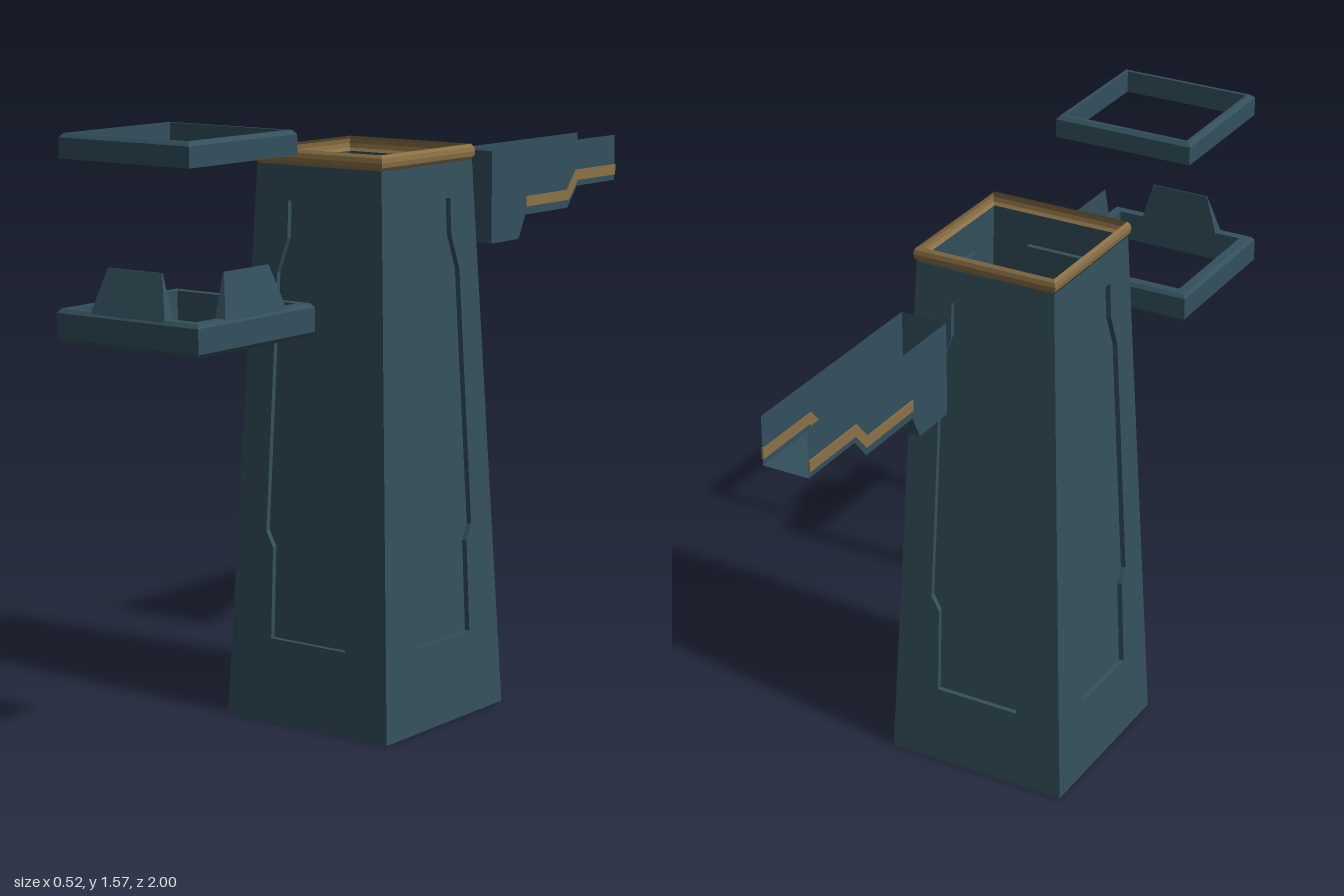
import * as THREE from 'three';
import { ConvexGeometry } from 'three/addons/geometries/ConvexGeometry.js';

const teal = new THREE.MeshStandardMaterial({ name: 'dark teal', color: 0x33505c, side: THREE.DoubleSide });
const gold = new THREE.MeshStandardMaterial({ name: 'dull gold', color: 0x8c7146, side: THREE.DoubleSide });

const shapeOf = (pts) => new THREE.Shape(pts.map(([x, y]) => new THREE.Vector2(x, y)));

function mesh(name, geometry, material) {
  const m = new THREE.Mesh(geometry, material);
  m.name = name;
  return m;
}

// Square ring or tube swept from a [half width, height] profile
function squareSweep(profile) {
  const pts = profile.map(([h, y]) => new THREE.Vector2(h * Math.SQRT2, y));
  const g = new THREE.LatheGeometry(pts, 4, Math.PI / 4).toNonIndexed();
  g.computeVertexNormals();
  return g;
}

// Flat quads between two matching paths of [x, y, z]
function strip(a, b) {
  const pos = [];
  for (let i = 0; i < a.length - 1; i++) {
    pos.push(...a[i], ...a[i + 1], ...b[i + 1], ...a[i], ...b[i + 1], ...b[i]);
  }
  const g = new THREE.BufferGeometry();
  g.setAttribute('position', new THREE.Float32BufferAttribute(pos, 3));
  g.computeVertexNormals();
  return g;
}

const BASE = 0.258, TOP = 0.196, HEIGHT = 1.445;

// Lean a flat wall inward as it rises
function lean(g) {
  const p = g.attributes.position;
  for (let i = 0; i < p.count; i++) {
    p.setZ(i, p.getZ(i) + BASE - (BASE - TOP) * p.getY(i) / HEIGHT);
  }
  g.computeVertexNormals();
  return g;
}

function createTower() {
  const tower = new THREE.Group();
  tower.name = 'tower';
  const half = [[0.12, 0.22], [0.12, 0.46], [0.143, 0.5], [0.125, 1.17], [0.094, 1.26], [0.094, 1.355]];
  const outline = [...half, ...half.map(([x, y]) => [-x, y]).reverse()];
  const depth = 0.014;

  const wallShape = shapeOf([[-BASE, 0], [BASE, 0], [TOP, HEIGHT], [-TOP, HEIGHT]]);
  wallShape.holes.push(shapeOf(outline));
  const wall = lean(new THREE.ShapeGeometry(wallShape));
  const panel = lean(new THREE.ShapeGeometry(shapeOf(outline)).translate(0, 0, -depth));
  const loop = [...outline, outline[0]];
  const edge = lean(strip(loop.map(([x, y]) => [x, y, 0]), loop.map(([x, y]) => [x, y, -depth])));

  for (let i = 0; i < 4; i++) {
    const side = new THREE.Group();
    side.name = 'towerSide';
    side.add(mesh('wall', wall, teal), mesh('recessedPanel', panel, teal), mesh('panelEdge', edge, teal));
    side.rotation.y = i * Math.PI / 2;
    tower.add(side);
  }

  // Hollow rounded trim around the mouth
  tower.add(mesh('rim', squareSweep([[0.194, 1.445], [0.2, 1.453], [0.202, 1.465], [0.2, 1.477], [0.194, 1.485]]), gold));
  tower.position.z = 0.067;
  return tower;
}

function createLowerFrame() {
  const frame = new THREE.Group();
  frame.name = 'lowerFrame';
  frame.add(mesh('frameRing', squareSweep([
    [0.185, 1.075], [0.21, 1.075], [0.218, 1.085], [0.218, 1.145], [0.21, 1.155], [0.185, 1.155], [0.185, 1.075],
  ]), teal));

  // Wedge tabs on the front and left only
  const corners = [];
  for (const s of [-1, 1]) {
    corners.push(
      new THREE.Vector3(s * 0.115, 1.15, 0.214), new THREE.Vector3(s * 0.115, 1.15, 0.182),
      new THREE.Vector3(s * 0.083, 1.26, 0.182), new THREE.Vector3(s * 0.083, 1.26, 0.185));
  }
  const tab = new ConvexGeometry(corners);
  for (const [name, turn] of [['frontTab', 0], ['leftTab', Math.PI / 2]]) {
    const t = mesh(name, tab, teal);
    t.rotation.y = turn;
    frame.add(t);
  }
  frame.position.z = 0.78;
  return frame;
}

function createUpperFrame() {
  const ring = mesh('upperFrame', squareSweep([
    [0.18, 1.512], [0.199, 1.512], [0.199, 1.562], [0.19, 1.572], [0.18, 1.572], [0.18, 1.512],
  ]), teal);
  ring.position.z = 0.802;
  return ring;
}

function createArm() {
  const arm = new THREE.Group();
  arm.name = 'arm';
  const x0 = -0.04, x1 = 0.084;

  // Stepped lower edge as [z, y], beginning at the top of the closed end
  const lower = [[-0.385, 1.44], [-0.385, 1.192], [-0.515, 1.192], [-0.548, 1.255],
    [-0.757, 1.255], [-0.805, 1.312], [-1, 1.312]];
  arm.add(mesh('channelFloor', strip(lower.map(([z, y]) => [x0, y, z]), lower.map(([z, y]) => [x1, y, z])), teal));

  const wall = new THREE.ShapeGeometry(shapeOf([...lower, [-1, 1.44]])).rotateY(-Math.PI / 2);
  const trim = new THREE.ExtrudeGeometry(shapeOf([
    [-0.548, 1.277], [-0.76, 1.277], [-0.805, 1.328], [-1, 1.328],
    [-1, 1.357], [-0.797, 1.357], [-0.752, 1.305], [-0.548, 1.305],
  ]), { depth: 0.005, bevelEnabled: false }).rotateY(-Math.PI / 2).translate(0.0025, 0, 0);

  for (const [x, out, label] of [[x0, -1, 'right'], [x1, 1, 'left']]) {
    const w = mesh(label + 'ChannelWall', wall, teal);
    w.position.x = x;
    const t = mesh(label + 'Trim', trim, gold);
    t.position.x = x + out * 0.001;
    arm.add(w, t);
  }
  return arm;
}

export function createModel() {
  const model = new THREE.Group();
  model.name = 'towerKit';
  model.add(createTower(), createLowerFrame(), createUpperFrame(), createArm());
  return model;
}
